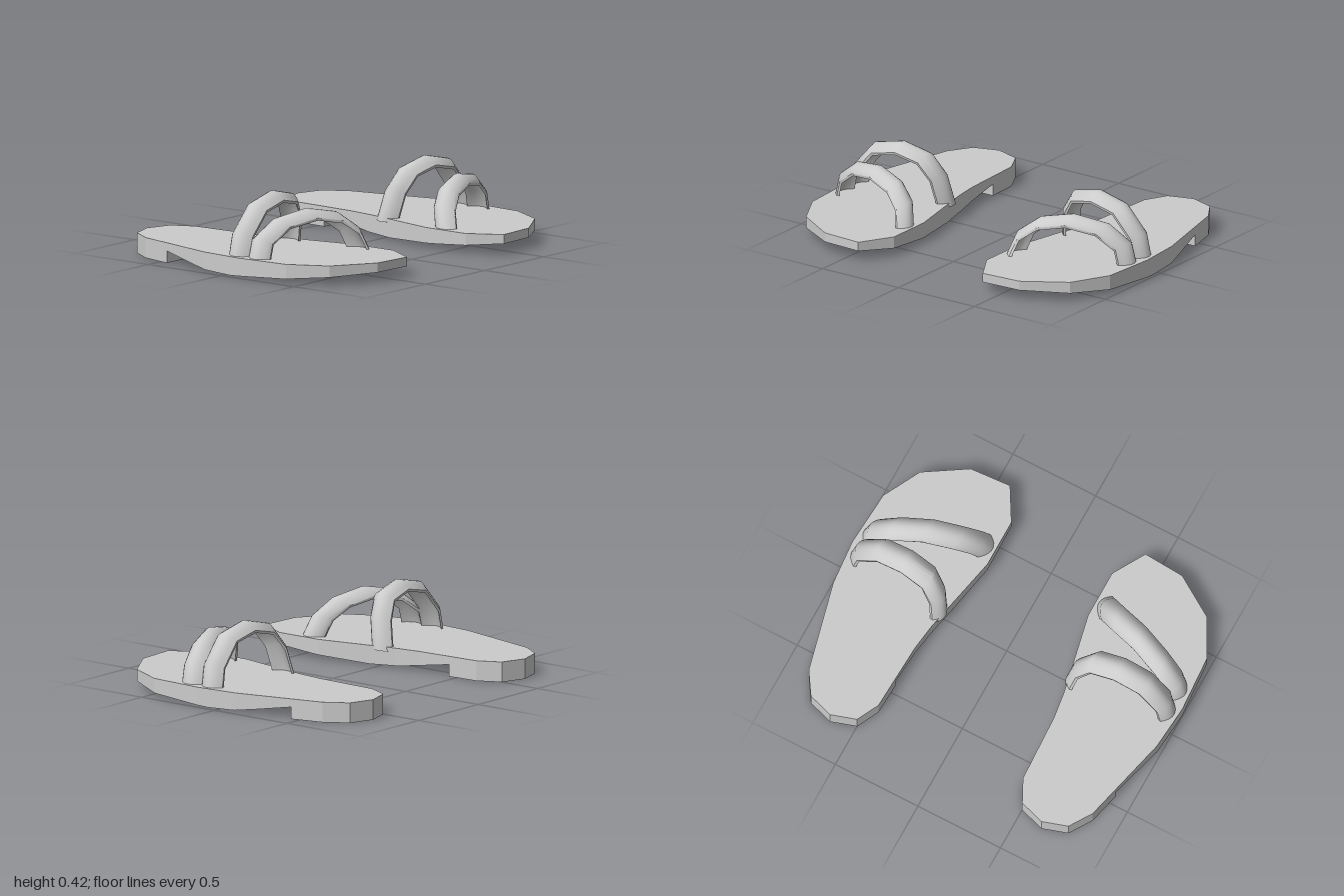
import * as THREE from 'three';
import { toCreasedNormals } from 'three/addons/utils/BufferGeometryUtils.js';

// Piecewise-linear lookup in a list of [key, value] pairs with rising keys
function lerpAt(pairs, k) {
  for (let i = 1; i < pairs.length; i++) {
    const [k0, v0] = pairs[i - 1], [k1, v1] = pairs[i];
    if (k <= k1) return v0 + (v1 - v0) * (k - k0) / (k1 - k0);
  }
  return pairs[pairs.length - 1][1];
}

// Closed solid through a list of rings; side = -1 mirrors it in x
function loft(rings, side) {
  const n = rings[0].length, positions = [];
  const tri = (a, b, c) => {
    const area = b.clone().sub(a).cross(c.clone().sub(a)).length();
    if (area < 1e-7) return;
    for (const p of side > 0 ? [a, b, c] : [a, c, b]) positions.push(side * p.x, p.y, p.z);
  };
  for (let i = 0; i + 1 < rings.length; i++) {
    for (let j = 0; j < n; j++) {
      const k = (j + 1) % n, A = rings[i], B = rings[i + 1];
      tri(A[j], A[k], B[j]);
      tri(A[k], B[k], B[j]);
    }
  }
  const first = rings[0], last = rings[rings.length - 1];
  for (let j = 1; j + 1 < n; j++) {
    tri(first[0], first[j + 1], first[j]);
    tri(last[0], last[j], last[j + 1]);
  }
  const geo = new THREE.BufferGeometry();
  geo.setAttribute('position', new THREE.Float32BufferAttribute(positions, 3));
  geo.computeVertexNormals();
  return geo;
}

// Sole outline as [z, x] from heel to toe, and the underside as [z, y]
const TOP = 0.11, HEEL_Z = -0.45;
const outer = [[-0.8, 0.64], [-0.755, 0.78], [-0.63, 0.86], [-0.13, 0.98], [0.12, 1],
  [0.43, 0.98], [0.64, 0.87], [0.785, 0.64], [0.8, 0.41]];
const inner = [[-0.8, 0.64], [-0.755, 0.5], [-0.63, 0.437], [-0.25, 0.42],
  [-0.1, 0.4], [0.35, 0.305], [0.62, 0.305], [0.8, 0.41]];
const under = [[-0.45, 0.065], [-0.25, 0.033], [-0.12, 0.014], [0.05, 0.008], [0.4, 0.028], [0.8, 0.06]];

function soleGeometry(side) {
  const stations = [...new Set([...outer, ...inner, ...under].map(p => p[0]))].sort((a, b) => a - b);
  const ring = (z, y) => {
    const xo = lerpAt(outer, z), xi = lerpAt(inner, z);
    return [[xo, TOP], [xi, TOP], [xi, y], [xo, y]].map(p => new THREE.Vector3(p[0], p[1], z));
  };
  const rings = [];
  for (const z of stations) {
    if (z <= HEEL_Z) rings.push(ring(z, 0)); // heel block
    if (z >= HEEL_Z) rings.push(ring(z, lerpAt(under, z))); // arched front
  }
  return loft(rings, side);
}

// Domed band swept along a path of [x, y, z] crown points, outer foot first
function strapGeometry(path, halfWidth, side) {
  const steps = 8, dome = 0.045, thick = 0.018;
  const pts = path.map(p => new THREE.Vector3(...p));
  const rings = pts.map((p, i) => {
    const t = pts[Math.min(i + 1, pts.length - 1)].clone().sub(pts[Math.max(i - 1, 0)]);
    const out = new THREE.Vector3(t.y, -t.x, 0).normalize();
    const at = (u, drop) => p.clone().addScaledVector(out, -dome * u * u - drop)
      .add(new THREE.Vector3(0, 0, u * halfWidth));
    const ring = [];
    for (let s = 0; s <= steps; s++) ring.push(at(1 - 2 * s / steps, 0));
    for (let s = 0; s <= steps; s++) ring.push(at((2 * s / steps - 1) * 0.96, thick));
    return ring;
  });
  return toCreasedNormals(loft(rings, side), 0.8);
}

const frontPath = [[0.98, 0.09, 0.205], [0.945, 0.22, 0.21], [0.82, 0.315, 0.245], [0.64, 0.35, 0.305],
  [0.47, 0.315, 0.355], [0.36, 0.23, 0.4], [0.315, 0.09, 0.445]];
const rearPath = [[0.98, 0.09, 0.07], [0.95, 0.235, 0.075], [0.82, 0.38, 0.08], [0.645, 0.42, 0.075],
  [0.48, 0.38, 0.06], [0.395, 0.26, 0.03], [0.365, 0.09, -0.005]];

export function createModel() {
  const model = new THREE.Group();
  model.name = 'sandals';
  const flat = new THREE.MeshStandardMaterial({ color: 0xcccccc, flatShading: true });
  const smooth = new THREE.MeshStandardMaterial({ color: 0xcccccc, side: THREE.DoubleSide });
  for (const side of [1, -1]) {
    const sandal = new THREE.Group();
    sandal.name = side > 0 ? 'leftSandal' : 'rightSandal';
    const add = (name, geo, mat) => {
      const mesh = new THREE.Mesh(geo, mat);
      mesh.name = name;
      sandal.add(mesh);
    };
    add('sole', soleGeometry(side), flat);
    add('frontStrap', strapGeometry(frontPath, 0.072, side), smooth);
    add('rearStrap', strapGeometry(rearPath, 0.07, side), smooth);
    model.add(sandal);
  }
  return model;
}
